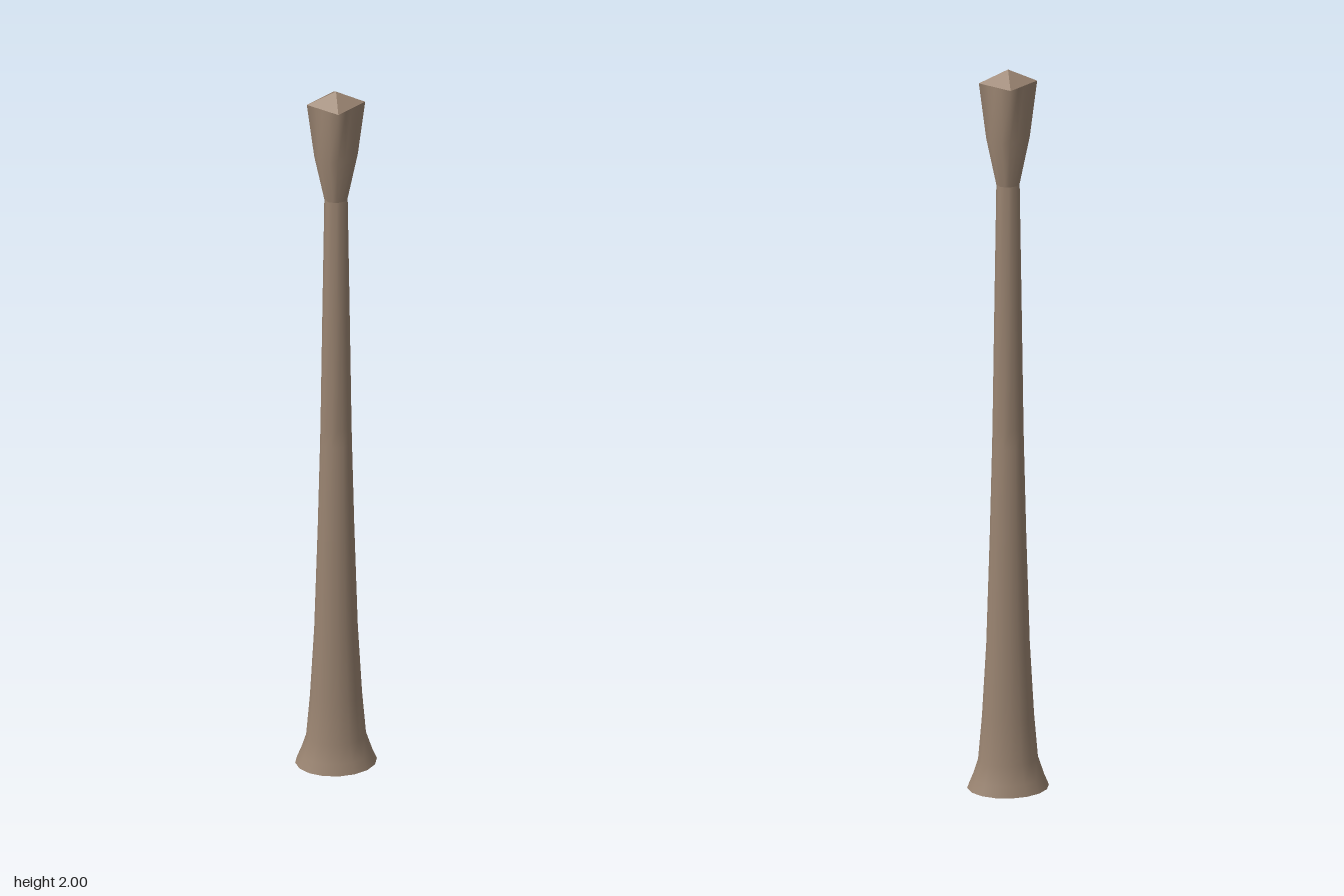
import * as THREE from 'three';

const SEGMENTS = 16;

// Radius factor of an n-sided polygon with a corner at angle 0
function polygonFactor(angle, n) {
  const step = (Math.PI * 2) / n;
  const local = ((angle + 1e-6) % step) - step / 2;
  return Math.cos(step / 2) / Math.cos(local);
}

// Skin through stretched polygon rings given as [y, x radius, z radius, sides]
function loft(rings) {
  const positions = [];
  const index = [];
  for (const [y, rx, rz, sides] of rings) {
    for (let i = 0; i < SEGMENTS; i++) {
      const a = (i / SEGMENTS) * Math.PI * 2;
      const f = polygonFactor(a, sides);
      positions.push(Math.cos(a) * rx * f, y, Math.sin(a) * rz * f);
    }
  }
  for (let r = 0; r < rings.length - 1; r++) {
    for (let i = 0; i < SEGMENTS; i++) {
      const j = (i + 1) % SEGMENTS;
      const a = r * SEGMENTS + i, b = r * SEGMENTS + j;
      const c = a + SEGMENTS, d = b + SEGMENTS;
      index.push(a, c, b, b, c, d);
    }
  }
  const geometry = new THREE.BufferGeometry();
  geometry.setAttribute('position', new THREE.Float32BufferAttribute(positions, 3));
  geometry.setIndex(index);
  geometry.computeVertexNormals();
  return geometry;
}

export function createModel() {
  const model = new THREE.Group();
  model.name = 'post';
  const wood = new THREE.MeshStandardMaterial({ color: 0x9a8471, side: THREE.DoubleSide });
  wood.name = 'brown wood';

  const add = (name, geometry) => {
    const mesh = new THREE.Mesh(geometry, wood);
    mesh.name = name;
    model.add(mesh);
    return mesh;
  };

  // Flared, open foot and tapering shaft, with fewer sides in the upper half
  add('shaft', loft([
    [0, 0.105, 0.08, 16],
    [0.03, 0.093, 0.071, 16],
    [0.08, 0.077, 0.059, 16],
    [0.2, 0.067, 0.051, 16],
    [0.4, 0.056, 0.043, 16],
    [0.7, 0.047, 0.036, 16],
    [0.95, 0.041, 0.031, 16],
    [1.0, 0.04, 0.03, 8],
    [1.35, 0.035, 0.027, 8],
    [1.68, 0.03, 0.023, 8],
  ]));

  // Head widening from the neck to a diamond rim
  add('head', loft([
    [1.68, 0.03, 0.023, 8],
    [1.81, 0.056, 0.042, 8],
    [1.965, 0.075, 0.058, 4],
  ]));

  // Low four-sided pyramid on top
  const cap = new THREE.ConeGeometry(1, 0.035, 4, 1, true).toNonIndexed();
  cap.scale(0.075, 1, 0.058);
  cap.computeVertexNormals();
  add('cap', cap).position.y = 1.9825;

  return model;
}
